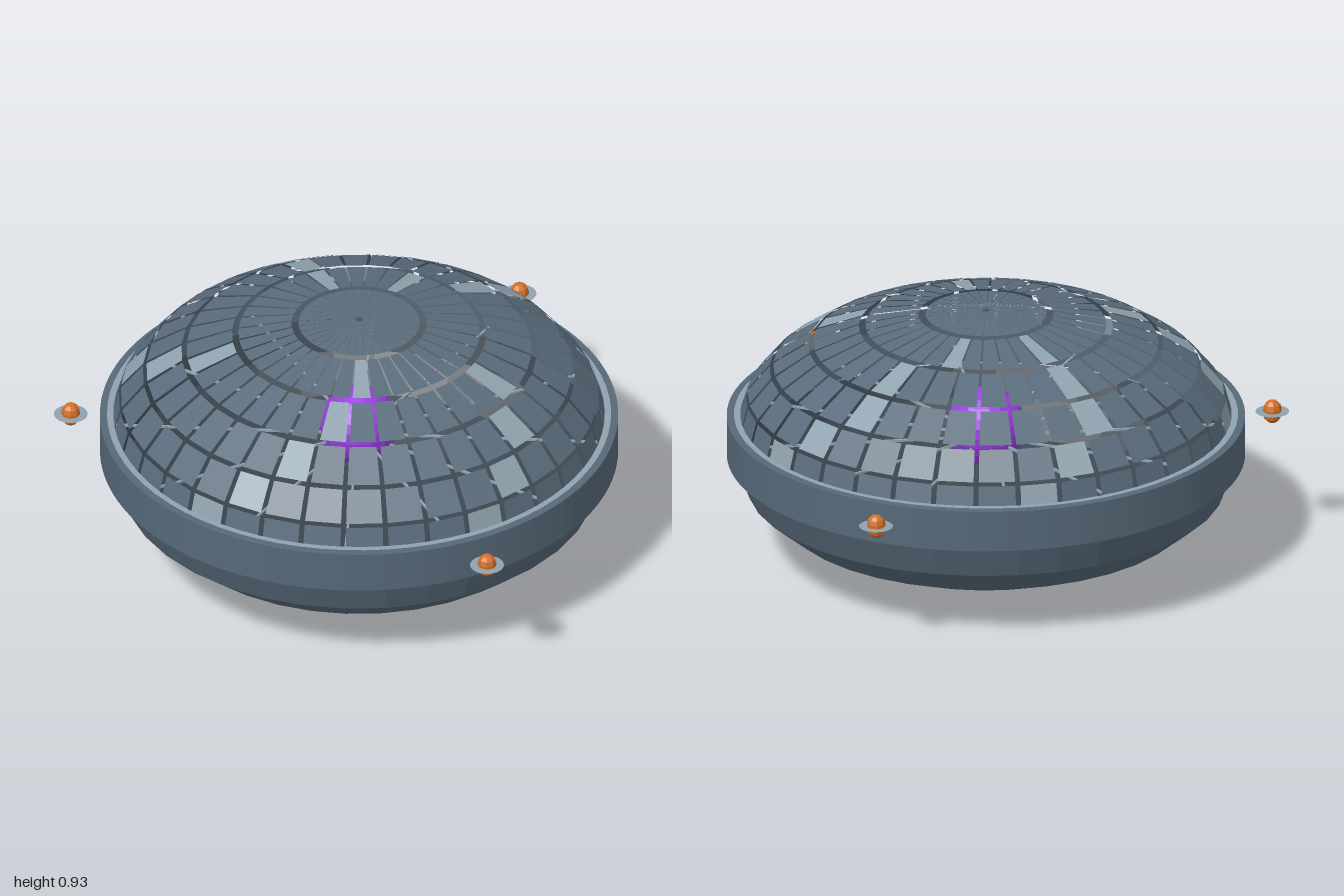
import * as THREE from 'three';

const mat = (name, color, side = THREE.DoubleSide) => {
  const m = new THREE.MeshStandardMaterial({ color, flatShading: true, side });
  m.name = name;
  return m;
};

const RAD = Math.PI / 180;
const DOME_R = 0.875, DOME_H = 0.435, MID_Y = 0.495;

// Point on the dome ellipsoid, angles in degrees
const domePoint = (theta, phi) => [
  DOME_R * Math.sin(theta * RAD) * Math.cos(phi * RAD),
  DOME_H * Math.cos(theta * RAD),
  DOME_R * Math.sin(theta * RAD) * Math.sin(phi * RAD),
];

// Bright panels: start angles of the 10 degree columns, for each row from the top
const BRIGHT = [
  [],
  [80, 240, 290],
  [20, 90, 160, 240, 310],
  [30, 100, 170, 240, 310],
  [40, 110, 180, 250, 320],
  [50, 120, 190, 260, 330],
];

// Flat panels of one tone merged into one geometry
function panelGeometry(bright) {
  const pos = [];
  const gapT = 0.85;
  for (let row = 0; row < 6; row++) {
    const gapP = row === 0 ? 0.25 : 0.62;
    for (let phi = 0; phi < 360; phi += 10) {
      if (BRIGHT[row].includes(phi) !== bright) continue;
      const t0 = row * 15 + gapT, t1 = row * 15 + 15 - gapT;
      const p0 = phi + gapP, p1 = phi + 10 - gapP;
      const a = domePoint(t0, p0), b = domePoint(t0, p1);
      const c = domePoint(t1, p1), d = domePoint(t1, p0);
      pos.push(...a, ...b, ...c, ...a, ...c, ...d);
    }
  }
  const g = new THREE.BufferGeometry();
  g.setAttribute('position', new THREE.Float32BufferAttribute(pos, 3));
  g.computeVertexNormals();
  return g;
}

// Open half ellipsoid facing down
function bowlGeometry(radius, depth) {
  const g = new THREE.SphereGeometry(1, 36, 5, 0, Math.PI * 2, Math.PI / 2, Math.PI / 2);
  return g.scale(radius, depth, radius);
}

// Flat horizontal annulus
const flatRing = (inner, outer, sides) =>
  new THREE.RingGeometry(inner, outer, sides).rotateX(-Math.PI / 2);

export function createModel() {
  const model = new THREE.Group();
  model.name = 'domedStation';
  const body = new THREE.Group();
  body.name = 'body';
  body.position.x = 0.0825;
  model.add(body);

  const panelMat = mat('slate panel', 0x5a6c7c);
  const brightMat = mat('bright panel', 0x90a3af);
  const hullMat = mat('hull slate', 0x566878);
  const insideMat = mat('dark interior', 0x3a454f);
  const coreMat = mat('core purple', 0x9a3fe0, THREE.FrontSide);
  const podMat = mat('pod orange', 0xd07028, THREE.FrontSide);

  const add = (parent, name, geo, material, x = 0, y = 0, z = 0) => {
    const m = new THREE.Mesh(geo, material);
    m.name = name;
    m.position.set(x, y, z);
    parent.add(m);
    return m;
  };

  // Dome of separate panels with open gaps
  add(body, 'domePanels', panelGeometry(false), panelMat, 0, MID_Y, 0);
  add(body, 'brightDomePanels', panelGeometry(true), brightMat, 0, MID_Y, 0);

  // Rim ring around the middle, with a thin light trim on its upper inner edge
  const shape = new THREE.Shape().absarc(0, 0, 0.915, 0, Math.PI * 2);
  shape.holes.push(new THREE.Path().absarc(0, 0, 0.865, 0, Math.PI * 2, true));
  const ringGeo = new THREE.ExtrudeGeometry(shape, { depth: 0.15, bevelEnabled: false, curveSegments: 64 });
  ringGeo.rotateX(-Math.PI / 2);
  add(body, 'rimRing', ringGeo, hullMat, 0, 0.382, 0);
  add(body, 'rimTrim', flatRing(0.868, 0.89, 72), brightMat, 0, 0.535, 0);

  // Lower bowl, just below the ring, with a dark lining
  add(body, 'lowerHull', bowlGeometry(0.885, 0.37), hullMat, 0, 0.372, 0);
  add(body, 'lowerHullLining', bowlGeometry(0.879, 0.364), insideMat, 0, 0.372, 0);

  // Glowing core and its slim spokes
  add(body, 'core', new THREE.SphereGeometry(0.14, 16, 12), coreMat, 0, 0.491, 0);
  for (let i = 0; i < 12; i++) {
    const spoke = new THREE.BoxGeometry(0.73, 0.008, 0.008);
    spoke.translate(0.495, 0, 0);
    add(body, 'spoke', spoke, brightMat, 0, 0.45, 0).rotation.y = i * 30 * RAD;
  }

  // Three pods around the rim, each with a flat collar
  for (const deg of [60, 180, 300]) {
    const pod = new THREE.Group();
    pod.name = 'pod';
    pod.position.set(1.02 * Math.cos(deg * RAD), 0.49, 1.02 * Math.sin(deg * RAD));
    body.add(pod);
    add(pod, 'podShell', new THREE.CapsuleGeometry(0.033, 0.02, 3, 8), podMat);
    add(pod, 'podCollar', flatRing(0.03, 0.06, 24), brightMat);
  }
  return model;
}
